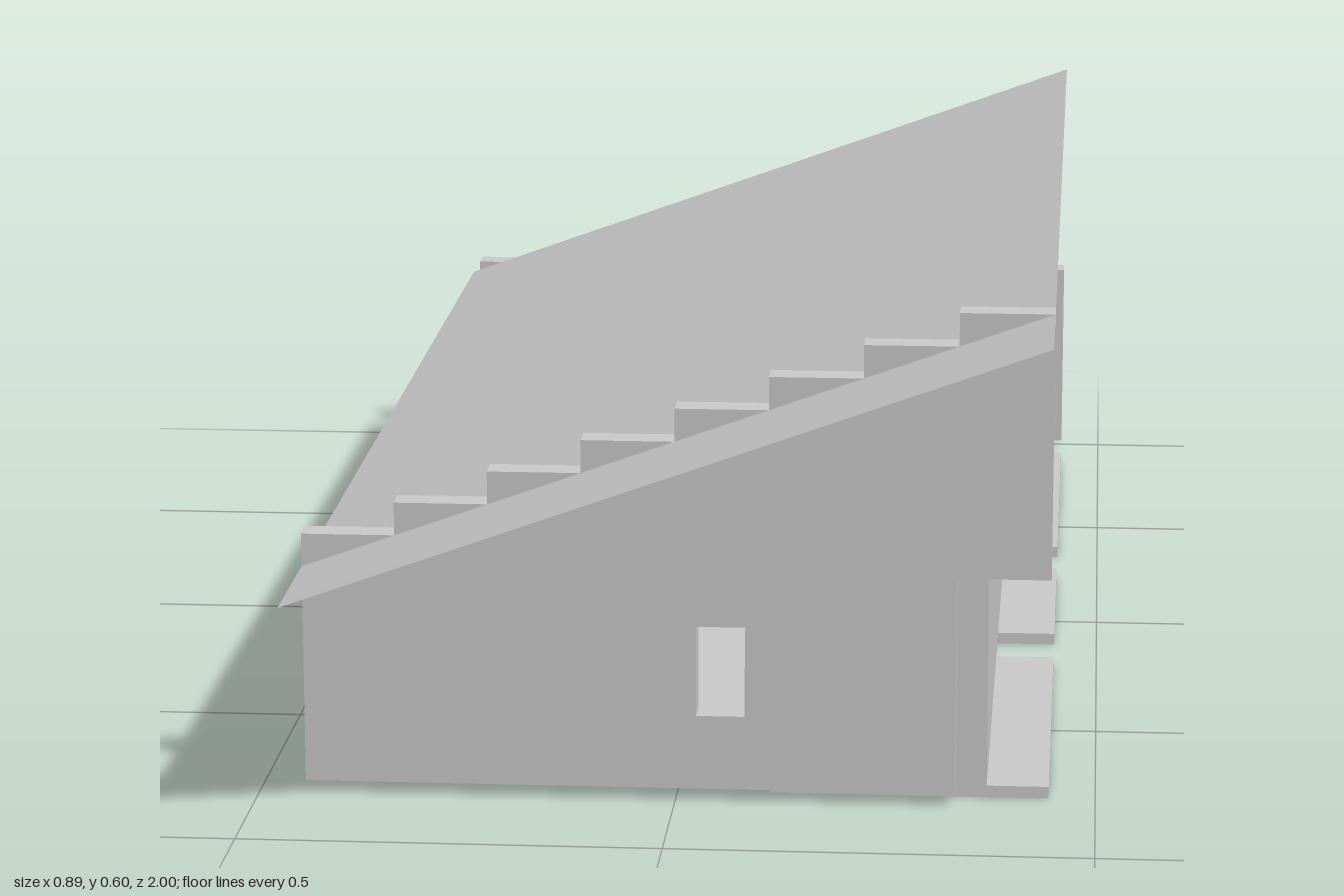
import * as THREE from 'three';

const U = 1 / 9;        // plan grid module
const T = U / 3;        // wall thickness
const BASE = 0.0145;    // top of floor slabs, bottom of walls
const EAVE = 0.28;      // height of low walls
const RIDGE = 0.6;      // high edge of the roof

const material = new THREE.MeshStandardMaterial({ color: 0xcccccc, flatShading: true });
const sheet = new THREE.MeshStandardMaterial({ color: 0xcccccc, flatShading: true, side: THREE.DoubleSide });

const toShape = (points) => new THREE.Shape(points.map(([x, y]) => new THREE.Vector2(x, y)));

function addMesh(group, name, geometry, mat = material) {
  const mesh = new THREE.Mesh(geometry, mat);
  mesh.name = name;
  group.add(mesh);
  return mesh;
}

// Upright wall with a small window, extruded from z to z + T
function endWall(group, name, outline, z) {
  const shape = toShape(outline);
  shape.holes.push(toShape([[0.025, 0.105], [0.025, 0.215], [0.083, 0.215], [0.083, 0.105]]));
  const geometry = new THREE.ExtrudeGeometry(shape, { depth: T, bevelEnabled: false });
  addMesh(group, name, geometry).position.z = z;
}

// Long low wall between the end walls
function sideWall(group, name, x) {
  const geometry = new THREE.BoxGeometry(T, EAVE - BASE, 15 * U);
  addMesh(group, name, geometry).position.set(x + T / 2, (EAVE + BASE) / 2, -U / 2);
}

// Floor slab from a plan outline of [x, z] grid points
function floorSlab(group, name, plan) {
  const shape = toShape(plan.map(([x, z]) => [x * U, -z * U]));
  const geometry = new THREE.ExtrudeGeometry(shape, { depth: BASE, bevelEnabled: false });
  geometry.rotateX(-Math.PI / 2);
  addMesh(group, name, geometry);
}

export function createModel() {
  const model = new THREE.Group();
  model.name = 'building';

  // Front wall: stepped top, doorway cut out of the lower corner
  const front = [[-4 * U, BASE], [3 * U, BASE], [3 * U, EAVE], [4 * U, EAVE]];
  const rise = (RIDGE - EAVE) / 8;
  for (let i = 8; i > 0; i--) {
    const y = EAVE + i * rise;
    front.push([(i - 4) * U, y], [(i - 5) * U, y]);
  }
  endWall(model, 'frontWall', front, 7 * U);

  // Detached back wall
  endWall(model, 'backWall',
    [[-4 * U, BASE], [4 * U, BASE], [4 * U, EAVE], [-4 * U, EAVE]], -1);

  sideWall(model, 'leftWall', 3 * U);
  sideWall(model, 'rightWall', -4 * U);

  // Floor slabs
  floorSlab(model, 'frontFloor',
    [[1, 7], [4, 7], [4, 2], [1, 2], [1, 1], [-3, 1], [-3, 6], [1, 6]]);
  floorSlab(model, 'middleFloor', [[2, 1], [4, 1], [4, -2], [2, -2]]);
  floorSlab(model, 'backFloor',
    [[1, -3], [4, -3], [4, -8], [1, -8], [1, -7], [-3, -7], [-3, -1], [1, -1]]);

  // Single-pitch roof sheet, overhanging the front
  const width = 8 * U, height = RIDGE - EAVE;
  const roof = new THREE.PlaneGeometry(Math.hypot(width, height), 17 * U);
  roof.rotateX(-Math.PI / 2).rotateZ(Math.atan2(height, width));
  addMesh(model, 'roof', roof, sheet).position.set(0, (RIDGE + EAVE) / 2, U / 2);

  return model;
}
